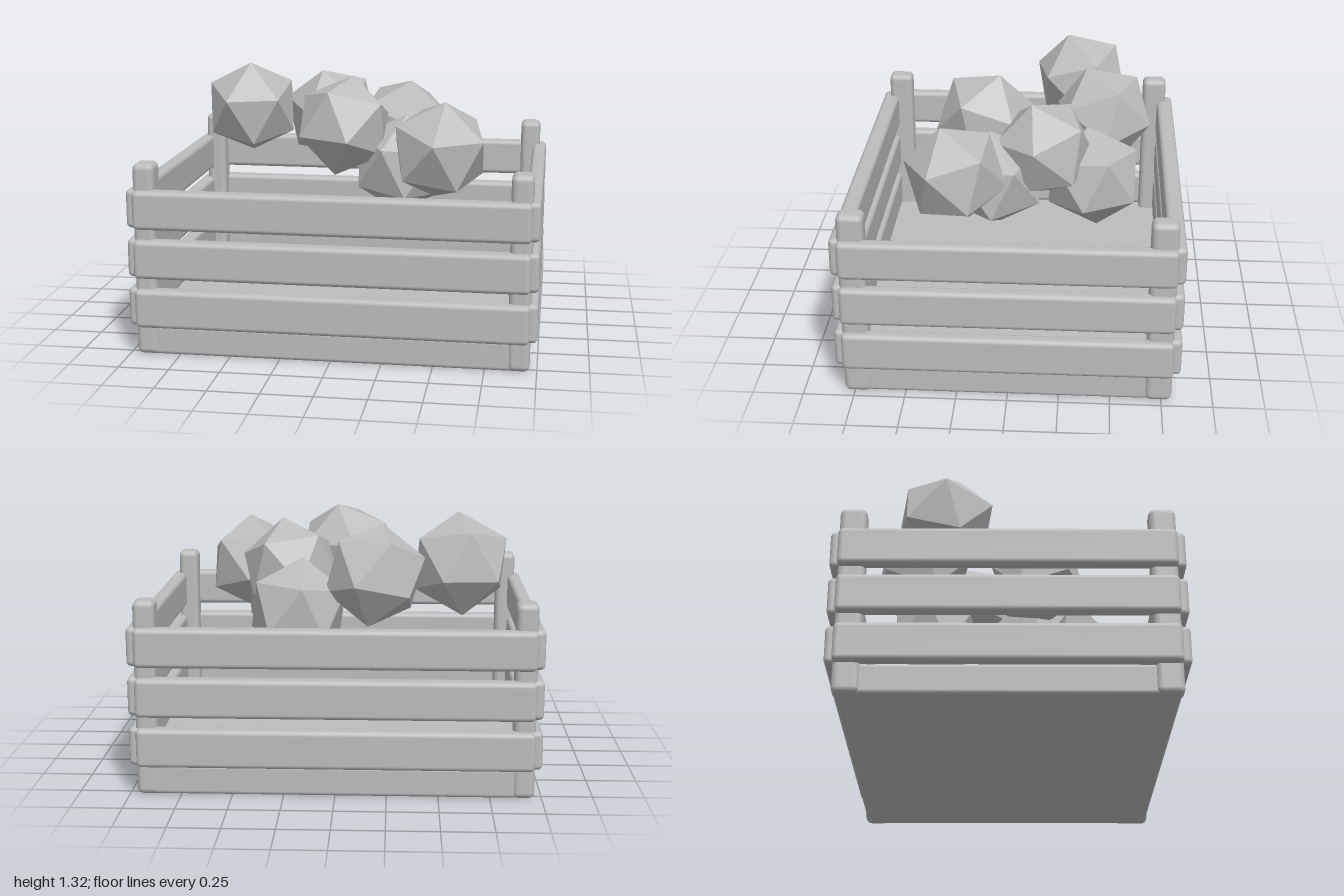
import * as THREE from 'three';
import { RoundedBoxGeometry } from 'three/addons/geometries/RoundedBoxGeometry.js';

export function createModel() {
  const model = new THREE.Group();
  const grey = new THREE.MeshStandardMaterial({ color: 0xbcbcbc });
  grey.name = 'grey';

  const add = (parent, name, geometry, x, y, z) => {
    const mesh = new THREE.Mesh(geometry, grey);
    mesh.name = name;
    mesh.position.set(x, y, z);
    parent.add(mesh);
    return mesh;
  };
  const group = (name) => {
    const g = new THREE.Group();
    g.name = name;
    model.add(g);
    return g;
  };

  // Crate: floor slab, corner posts and three rows of slats
  const crate = group('crate');
  add(crate, 'floor', new RoundedBoxGeometry(1.9, 0.15, 1.58, 3, 0.02), 0, 0.078, 0);

  const postGeo = new RoundedBoxGeometry(0.106, 0.96, 0.13, 3, 0.03);
  for (const sx of [-1, 1])
    for (const sz of [-1, 1]) add(crate, 'cornerPost', postGeo, sx * 0.912, 0.483, sz * 0.735);

  const longGeo = new RoundedBoxGeometry(1.92, 0.192, 0.088, 3, 0.024);
  const sideGeo = new RoundedBoxGeometry(0.074, 0.192, 1.6, 3, 0.024);
  for (const y of [0.245, 0.494, 0.74])
    for (const s of [-1, 1]) {
      add(crate, s > 0 ? 'frontSlat' : 'backSlat', longGeo, 0, y, s * 0.796);
      add(crate, s > 0 ? 'leftSlat' : 'rightSlat', sideGeo, s * 0.963, y, 0);
    }

  // Orthonormal frame from one corner direction and a neighbouring one
  const frame = (a, b) => {
    const u = new THREE.Vector3(...a).normalize();
    const v = new THREE.Vector3(...b);
    v.addScaledVector(u, -v.dot(u)).normalize();
    return new THREE.Matrix4().makeBasis(u, v, u.clone().cross(v));
  };

  // Faceted lumps: centre, direction of the top corner, direction of a neighbouring corner
  const lumps = [
    [[-0.61, 1.075, -0.315], [0.04, 0.97, 0.28], [-0.9, 0.48, 0.04]],
    [[-0.185, 1.035, -0.44], [-0.13, 0.94, 0.35], [-0.9, 0.3, 0.08]],
    [[0.2, 0.85, -0.39], [-0.1, 0.99, 0.1], [-0.12, 0.47, -0.87]],
    [[0.25, 1.02, -0.15], [0.18, 0.95, 0.25], [0.93, 0.245, 0.19]],
    [[-0.02, 1.07, 0.17], [0.15, 0.94, -0.3], [-0.85, 0.54, -0.2]],
    [[0.48, 0.975, 0.285], [0.12, 0.96, 0.25], [-0.8, 0.48, 0.3]],
    [[0.27, 0.865, 0.1], [0.1, 0.98, 0.1], [0.8, 0.4, -0.4]],
  ];
  const t = (1 + Math.sqrt(5)) / 2;
  const source = frame([-1, t, 0], [1, t, 0]).transpose();
  const lumpGeo = new THREE.IcosahedronGeometry(0.262, 0);
  const pile = group('lumpPile');
  for (const [centre, top, side] of lumps) {
    const lump = add(pile, 'lump', lumpGeo, ...centre);
    lump.quaternion.setFromRotationMatrix(frame(top, side).multiply(source));
  }

  return model;
}
